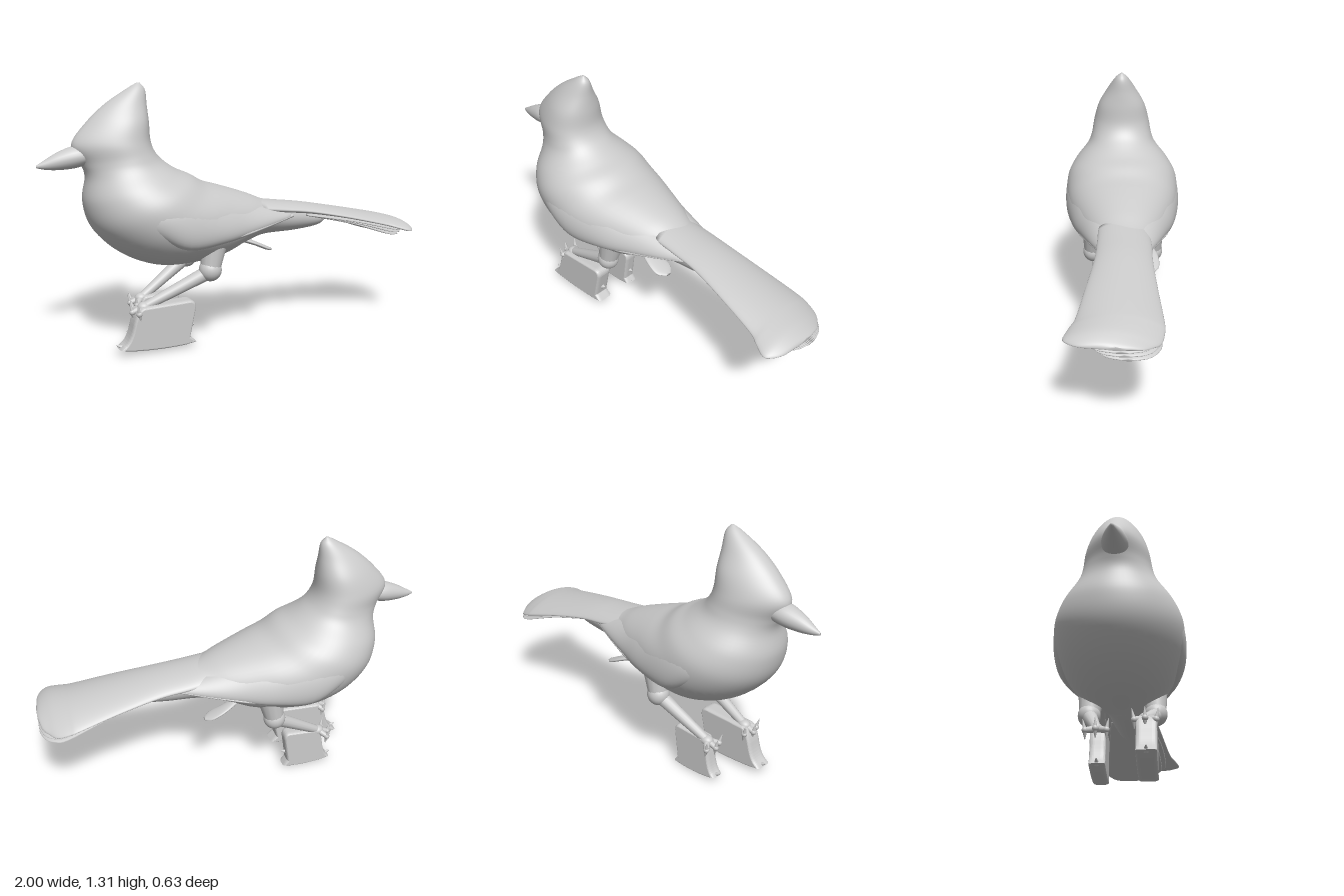
import * as THREE from 'three';

const material = new THREE.MeshStandardMaterial({ color: 0xcccccc });
const V = (x, y, z) => new THREE.Vector3(x, y, z);

function add(parent, name, geometry) {
  const mesh = new THREE.Mesh(geometry, material);
  mesh.name = name;
  parent.add(mesh);
  return mesh;
}

// Smooth skin over oval rings, each [topX, topY, topZ, bottomX, bottomY, bottomZ, halfWidth, egg].
// Rings run towards the tail; egg narrows the bottom end of a ring, arch droops the sides,
// tilt raises the +z edge, side = -1 mirrors the part.
function loft(rings, { steps = 5, sides = 40, arch = 0, tilt = 0, side = 1 } = {}) {
  const curve = f => new THREE.CatmullRomCurve3(rings.map(f), false, 'catmullrom');
  const tops = curve(r => V(r[0], r[1], r[2] * side));
  const bottoms = curve(r => V(r[3], r[4], r[5] * side));
  const widths = curve(r => V(r[6], r[7] ?? 0, 0));
  const n = (rings.length - 1) * steps;
  const pos = [], index = [];
  for (let i = 0; i <= n; i++) {
    const a = tops.getPoint(i / n), b = bottoms.getPoint(i / n), width = widths.getPoint(i / n);
    const w = Math.max(0.002, width.x);
    const c = a.clone().add(b).multiplyScalar(0.5), half = a.clone().sub(c);
    for (let j = 0; j < sides; j++) {
      const t = j / sides * Math.PI * 2;
      const dz = Math.sin(t) * w * (1 + width.y * Math.cos(t));
      const p = c.clone().addScaledVector(half, Math.cos(t));
      pos.push(p.x, p.y - arch * dz * dz + tilt * dz, p.z + dz);
      if (i < n) {
        const k = i * sides + j, l = i * sides + (j + 1) % sides;
        index.push(k, l, k + sides, l, l + sides, k + sides);
      }
    }
  }
  // close both ends
  for (let j = 1; j < sides - 1; j++) {
    const e = n * sides;
    index.push(0, j + 1, j, e, e + j, e + j + 1);
  }
  const g = new THREE.BufferGeometry();
  g.setAttribute('position', new THREE.Float32BufferAttribute(pos, 3));
  g.setIndex(index);
  g.computeVertexNormals();
  return g;
}

// Tapered limb between two points
function limb(a, b, ra, rb) {
  const d = b.clone().sub(a);
  const g = new THREE.CylinderGeometry(rb, ra, d.length(), 14);
  g.applyQuaternion(new THREE.Quaternion().setFromUnitVectors(V(0, 1, 0), d.normalize()));
  const m = a.clone().add(b).multiplyScalar(0.5);
  return g.translate(m.x, m.y, m.z);
}

function ball(p, rx, ry, rz) {
  return new THREE.SphereGeometry(1, 24, 16).scale(rx, ry, rz).translate(p.x, p.y, p.z);
}

// Perch block with flared lower corners; stretch sets its length forward of the back edge
function blockGeometry(thickness, stretch) {
  const X = x => -0.29 + (x + 0.29) * stretch;
  const s = new THREE.Shape();
  s.moveTo(X(-0.65), 0.035);
  s.quadraticCurveTo(X(-0.61), 0.05, X(-0.59), 0.13);
  s.quadraticCurveTo(X(-0.57), 0.22, X(-0.54), 0.222);
  s.lineTo(X(-0.31), 0.23);
  s.quadraticCurveTo(X(-0.28), 0.23, X(-0.283), 0.2);
  s.lineTo(X(-0.315), 0.05);
  s.lineTo(X(-0.285), 0.027);
  s.quadraticCurveTo(X(-0.46), 0.012, X(-0.65), 0.035);
  const bevel = 0.022;
  return new THREE.ExtrudeGeometry(s, {
    depth: thickness - 2 * bevel, bevelEnabled: true, bevelSize: 0.011,
    bevelThickness: bevel, bevelSegments: 5, curveSegments: 8,
  }).translate(0, 0, -thickness / 2 + bevel);
}

export function createModel() {
  const bird = new THREE.Group();
  bird.name = 'crestedBird';

  // Crest, head, neck, breast and rump in one skin
  const body = [
    [-0.49, 1.305, -0.505, 1.305, 0.006, 0],
    [-0.465, 1.27, -0.55, 1.28, 0.036, 0],
    [-0.46, 1.2, -0.66, 1.21, 0.078, 0.1],
    [-0.455, 1.12, -0.76, 1.12, 0.122, 0.25],
    [-0.45, 1.03, -0.832, 1.02, 0.146, 0.3],
    [-0.425, 0.97, -0.79, 0.93, 0.163, 0.2],
    [-0.38, 0.925, -0.768, 0.86, 0.19, 0.05],
    [-0.32, 0.885, -0.78, 0.74, 0.255, 0],
    [-0.25, 0.855, -0.74, 0.61, 0.3, 0],
    [-0.18, 0.815, -0.62, 0.49, 0.308, 0],
    [-0.1, 0.79, -0.46, 0.415, 0.292, 0],
    [-0.02, 0.765, -0.3, 0.4, 0.258, 0],
    [0.08, 0.73, -0.12, 0.42, 0.21, 0],
    [0.18, 0.69, 0.0, 0.465, 0.158, 0],
    [0.28, 0.672, 0.15, 0.505, 0.11, 0],
    [0.4, 0.65, 0.35, 0.51, 0.08, 0],
    [0.5, 0.61, 0.5, 0.525, 0.05, 0],
    [0.56, 0.585, 0.56, 0.555, 0.01, 0],
  ].map(([ax, ay, bx, by, w, egg]) => [ax, ay, 0, bx, by, 0, w, egg]);
  add(bird, 'body', loft(body, { steps: 6, sides: 56 }));

  add(bird, 'beak', loft([
    [-1, 0.932, 0, -1, 0.92, 0, 0.005],
    [-0.96, 0.955, 0, -0.96, 0.91, 0, 0.022],
    [-0.9, 0.988, 0, -0.9, 0.905, 0, 0.042],
    [-0.82, 1.015, 0, -0.82, 0.91, 0, 0.06],
    [-0.74, 1.01, 0, -0.74, 0.93, 0, 0.06],
  ], { sides: 24 }));

  // Folded wings, standing proud along the lower edge
  const wing = [
    [-0.61, 0.7, 0.24, -0.61, 0.67, 0.24, 0.008],
    [-0.5, 0.77, 0.24, -0.5, 0.595, 0.256, 0.055],
    [-0.35, 0.78, 0.22, -0.35, 0.52, 0.262, 0.068],
    [-0.15, 0.74, 0.165, -0.15, 0.53, 0.235, 0.065],
    [0.0, 0.705, 0.12, 0.0, 0.55, 0.195, 0.055],
    [0.15, 0.67, 0.09, 0.15, 0.575, 0.15, 0.045],
    [0.28, 0.63, 0.1, 0.28, 0.6, 0.115, 0.015],
  ];
  // Long flight feathers along the wing edge
  const quill = [
    [-0.38, 0.532, 0.245, -0.38, 0.52, 0.245, 0.012],
    [-0.1, 0.567, 0.205, -0.1, 0.537, 0.205, 0.042],
    [0.1, 0.592, 0.15, 0.1, 0.566, 0.15, 0.042],
    [0.3, 0.618, 0.1, 0.3, 0.6, 0.1, 0.018],
  ];

  // Rounded fan tail: broad skewed upper layer over narrower stacked feathers
  const tail = [
    [0.12, 0.7, 0, 0.12, 0.63, 0, 0.13],
    [0.25, 0.682, 0, 0.25, 0.62, 0, 0.135],
    [0.4, 0.662, 0.006, 0.4, 0.605, 0.006, 0.14],
    [0.6, 0.625, 0.018, 0.6, 0.575, 0.018, 0.165],
    [0.8, 0.585, 0.03, 0.8, 0.535, 0.03, 0.195],
    [0.86, 0.572, 0.045, 0.86, 0.522, 0.045, 0.208],
    [0.92, 0.557, 0.067, 0.92, 0.505, 0.067, 0.212],
    [0.955, 0.543, 0.075, 0.955, 0.5, 0.075, 0.182],
    [0.985, 0.526, 0.07, 0.985, 0.497, 0.07, 0.13],
    [1.0, 0.512, 0.05, 1.0, 0.495, 0.05, 0.04],
  ];
  add(bird, 'tailTop', loft(tail, { arch: 0.9, tilt: 0.07 }));
  for (let i = 0; i < 3; i++) {
    const d = i * 0.018, z = 0.03 - i * 0.015, w = 0.17 - i * 0.01;
    add(bird, 'tailFeather', loft([
      [0.4, 0.61, 0, 0.4, 0.59, 0, 0.1],
      [0.65, 0.575 - d * 0.5, z, 0.65, 0.55 - d * 0.5, z, w * 0.85],
      [0.87, 0.524 - d, z, 0.87, 0.499 - d, z, w],
      [0.94, 0.508 - d, z, 0.94, 0.485 - d, z, w * 0.88],
      [0.98, 0.497 - d, z, 0.98, 0.478 - d, z, w * 0.6],
      [1.0, 0.49 - d, z, 1.0, 0.48 - d, z, w * 0.2],
    ], { arch: 0.5, tilt: 0.04, sides: 28 }));
  }

  // Small loose feathers under the rump
  for (const [z, w] of [[0.09, 0.052], [-0.14, 0.04]]) {
    add(bird, 'undertailFeather', loft([
      [-0.03, 0.535, z * 0.8, -0.03, 0.505, z * 0.8, w * 0.5],
      [0.07, 0.497, z, 0.07, 0.473, z, w * 0.9],
      [0.14, 0.465, z, 0.14, 0.443, z, w],
      [0.178, 0.447, z, 0.178, 0.435, z, w * 0.35],
    ], { sides: 20 }));
  }

  for (const side of [1, -1]) {
    add(bird, 'wing', loft(wing, { side }));
    add(bird, 'flightFeathers', loft(quill, { side, sides: 20 }));

    // Legs; the right foot is set a little back and lower
    const left = side > 0;
    const knee = V(-0.195, 0.385, 0.162 * side);
    const ankle = left ? V(-0.53, 0.225, 0.12) : V(-0.47, 0.205, -0.1);
    const leg = new THREE.Group();
    leg.name = 'leg';
    bird.add(leg);
    add(leg, 'thigh', limb(V(-0.17, 0.52, 0.15 * side), knee, 0.07, 0.05));
    add(leg, 'knee', ball(knee, 0.058, 0.058, 0.056));
    add(leg, 'shank', limb(V(-0.22, 0.365, 0.155 * side), ankle, 0.036, 0.022));
    add(leg, 'ankle', ball(ankle, 0.035, 0.026, 0.03));

    // Toes with claws, gripping the block
    for (const k of [-1, 0, 1]) {
      const tip = ankle.clone().add(V(k ? -0.04 : -0.06, -0.02, k * 0.048));
      add(leg, 'toe', limb(ankle, tip, 0.018, 0.013));
      add(leg, 'toeJoint', ball(tip, 0.015, 0.015, 0.014));
      add(leg, 'spike', limb(tip, tip.clone().add(V(-0.012, 0.05, k * 0.01)), 0.011, 0.001));
      add(leg, 'claw', limb(tip, tip.clone().add(V(0.008, -0.04, 0)), 0.012, 0.002));
    }

    const stretch = left ? 1 : 0.66;
    const block = add(bird, 'perchBlock', blockGeometry(left ? 0.092 : 0.072, stretch));
    block.position.set(0, left ? 0 : -0.012, left ? 0.125 : -0.092);
    // Little spurs on the block's rim
    const front = -0.29 - 0.35 * stretch;
    for (const [x, y, dx, dy] of [[front, 0.035, -0.035, 0.015], [-0.295, 0.1, 0.025, 0.005], [-0.3, 0.03, 0.025, -0.005]]) {
      add(block, 'spur', limb(V(x, y, 0), V(x + dx, y + dy, 0), 0.014, 0.002));
    }
  }
  return bird;
}
